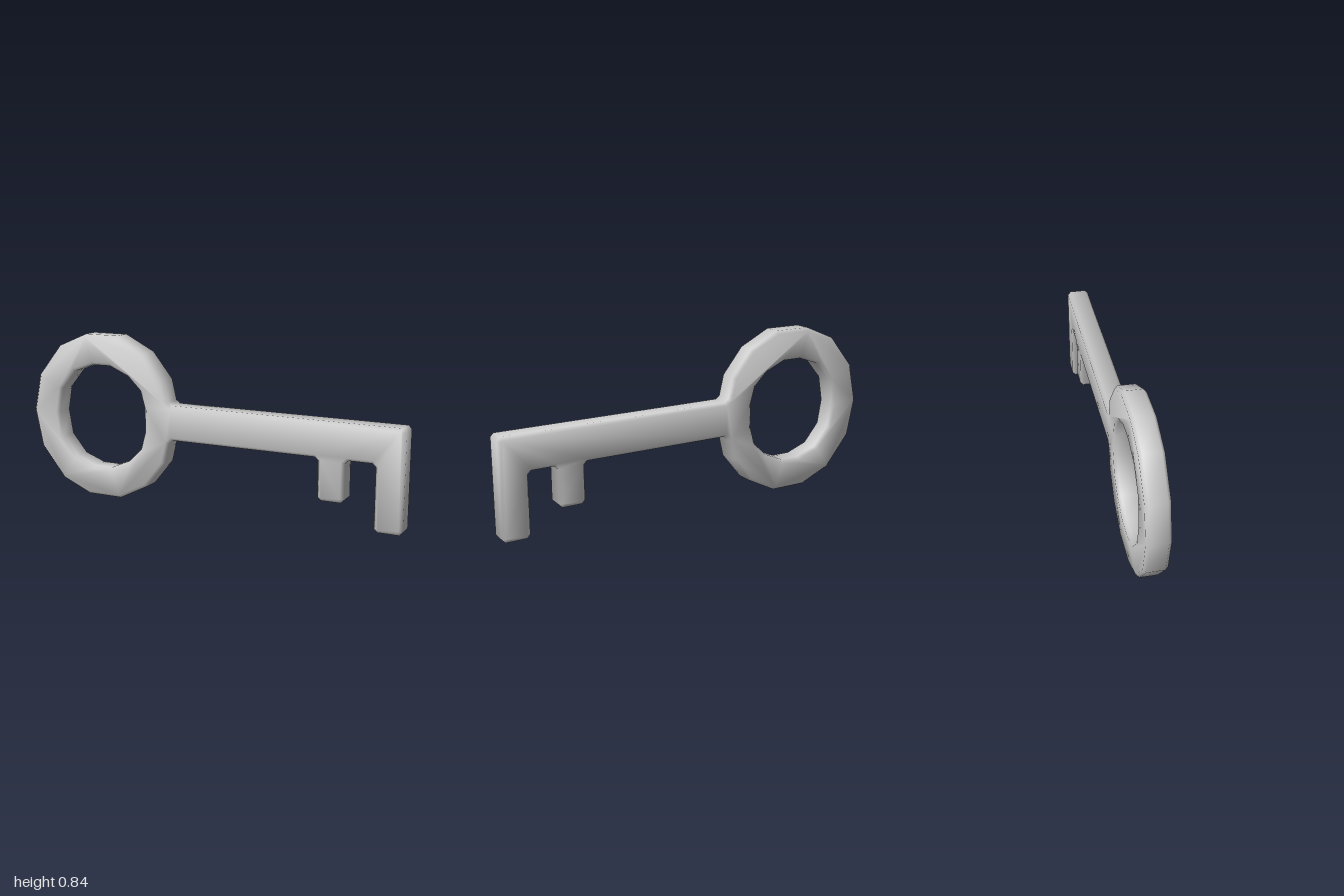
import * as THREE from 'three';
import { mergeVertices } from 'three/addons/utils/BufferGeometryUtils.js';

const MID = 0.42;       // height of the shaft's centre line
const THICK = 0.112;    // total thickness
const BEVEL = 0.015;    // chamfer on every edge

// Smooth normals weighted by corner angle, so thin chamfers round off the flat faces
function softNormals(source) {
  source.deleteAttribute('uv');
  source.deleteAttribute('normal');
  const geo = mergeVertices(source, 1e-4);
  const pos = geo.attributes.position;
  const sums = Array.from({ length: pos.count }, () => new THREE.Vector3());
  const tri = new THREE.Triangle();
  const n = new THREE.Vector3(), u = new THREE.Vector3(), v = new THREE.Vector3();
  for (let i = 0; i < geo.index.count; i += 3) {
    const ids = [0, 1, 2].map(k => geo.index.getX(i + k));
    tri.setFromAttributeAndIndices(pos, ...ids);
    if (tri.getArea() < 1e-9) continue;
    tri.getNormal(n);
    const p = [tri.a, tri.b, tri.c];
    for (let k = 0; k < 3; k++) {
      u.subVectors(p[(k + 1) % 3], p[k]);
      v.subVectors(p[(k + 2) % 3], p[k]);
      sums[ids[k]].addScaledVector(n, u.angleTo(v));
    }
  }
  const normals = sums.flatMap(s => s.normalize().toArray());
  geo.setAttribute('normal', new THREE.Float32BufferAttribute(normals, 3));
  return geo;
}

// Cuts each corner of a path by a small amount
function cutCorners(points, size) {
  return points.flatMap((p, i) => {
    if (i === 0 || i === points.length - 1) return [p];
    const c = new THREE.Vector2(...p);
    return [points[i - 1], points[i + 1]].map(q => {
      const d = new THREE.Vector2(...q).sub(c).setLength(size);
      return [c.x + d.x, c.y + d.y];
    });
  });
}

const flip = ([x, y]) => [x, 2 * MID - y];
const toVectors = list => list.map(p => new THREE.Vector2(...p));

export function createModel() {
  const group = new THREE.Group();
  group.name = 'key';
  const material = new THREE.MeshStandardMaterial({ color: 0xcccccc });

  // Upper half of the faceted bow, from the shaft round to the far left
  const bowTop = [[-0.195, 0.525], [-0.22, 0.63], [-0.325, 0.76], [-0.48, 0.838],
    [-0.67, 0.838], [-0.83, 0.77], [-0.96, 0.61]];
  const bowBottom = bowTop.map(flip).reverse();

  // Shaft and the two teeth of the bit, running from below the shaft to its top
  const blade = cutCorners([[-0.175, 0.335], [0.59, 0.335], [0.59, 0.13], [0.72, 0.13],
    [0.72, 0.335], [0.865, 0.335], [0.865, 0.015], [1, 0.015], [1, 0.51], [-0.175, 0.51]], 0.016);

  const outline = new THREE.Shape(toVectors([...bowTop, [-1, MID], ...bowBottom, ...blade]));

  // Opening of the bow
  const holeTop = [[-0.33, 0.48], [-0.355, 0.57], [-0.425, 0.638], [-0.53, 0.683],
    [-0.63, 0.683], [-0.74, 0.643], [-0.82, 0.547]];
  outline.holes.push(new THREE.Path(toVectors(
    [...holeTop, [-0.842, MID], ...holeTop.map(flip).reverse()])));

  const depth = THICK - 2 * BEVEL;
  const geometry = new THREE.ExtrudeGeometry(outline, {
    depth, steps: 1, bevelEnabled: true, bevelSegments: 1,
    bevelSize: BEVEL, bevelThickness: BEVEL, bevelOffset: -BEVEL,
  });
  geometry.translate(0, 0, -depth / 2);

  const body = new THREE.Mesh(softNormals(geometry), material);
  body.name = 'bowShaftAndBit';
  group.add(body);
  return group;
}
